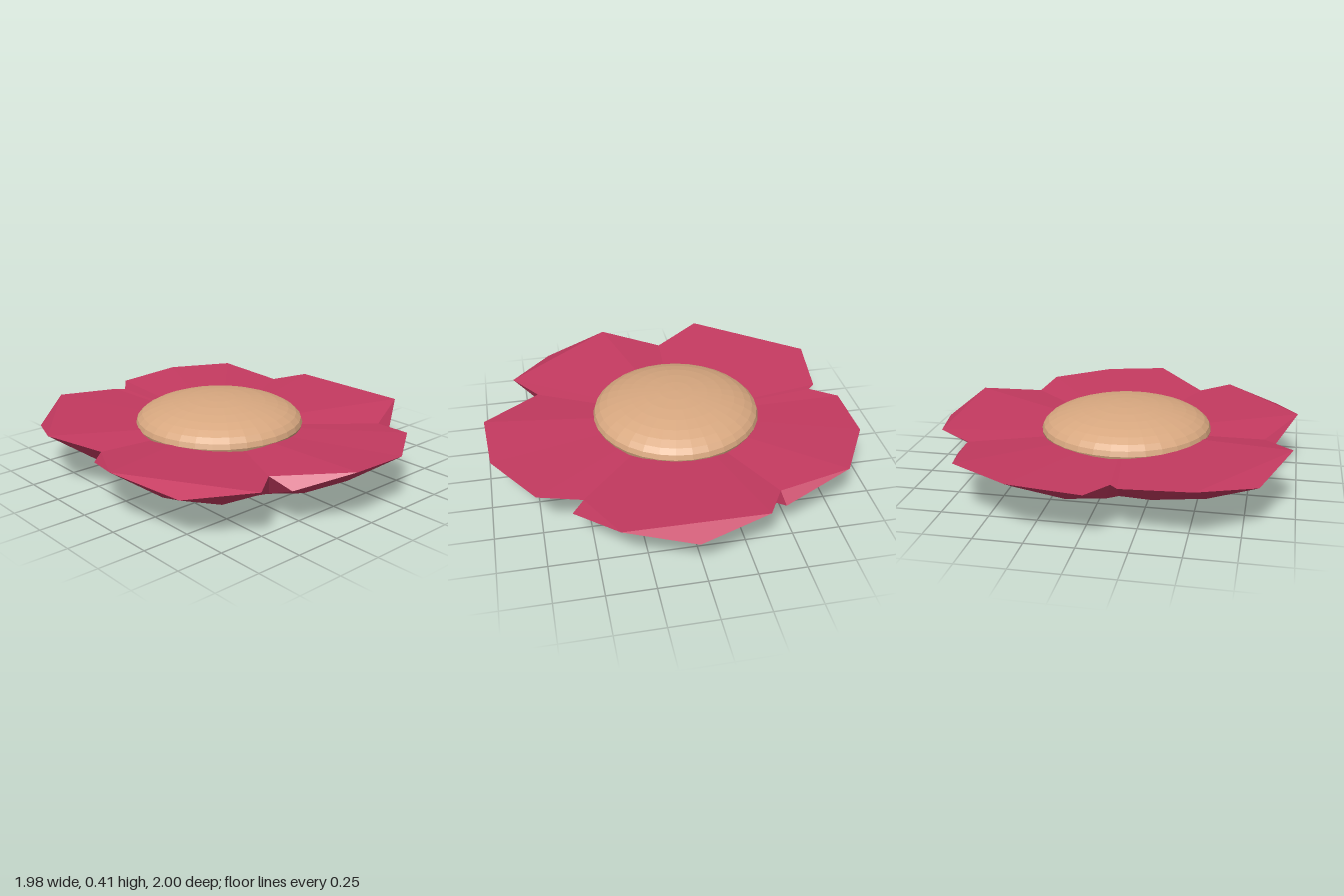
import * as THREE from 'three';

// Rim points [x, y, z] of each petal, clockwise from above; each starts at the notch.
// Points below LOW lie under the upper face and form a folded-down edge.
const LOW = 0.25;
const petals = {
  backLeftPetal: [[-0.14, 0.27, -0.86], [-0.04, 0.27, -1], [0.33, 0.29, -0.99], [0.65, 0.295, -0.81], [0.76, 0.2, -0.45]],
  leftPetal: [[0.71, 0.26, -0.43], [0.89, 0.28, -0.33], [0.985, 0.23, 0.04], [0.895, 0.29, 0.4], [0.59, 0.18, 0.6]],
  frontPetal: [[0.58, 0.25, 0.54], [0.54, 0.27, 0.77], [0.23, 0.28, 0.98], [-0.12, 0.3, 1], [-0.36, 0.21, 0.81]],
  frontRightPetal: [[-0.4, 0.26, 0.69], [-0.57, 0.27, 0.82], [-0.86, 0.24, 0.59], [-0.99, 0.3, 0.23], [-0.87, 0.22, -0.09]],
  backRightPetal: [[-0.82, 0.26, -0.1], [-0.97, 0.31, -0.36], [-0.82, 0.24, -0.7], [-0.54, 0.3, -0.94], [-0.18, 0.27, -0.9]],
};

export function createModel() {
  const group = new THREE.Group();
  group.name = 'flower';
  const petalMaterial = new THREE.MeshStandardMaterial({ color: 0xc43a60, flatShading: true });
  const discMaterial = new THREE.MeshStandardMaterial({ color: 0xd8a880, flatShading: true });

  const rim = Object.values(petals).flat().map((p) => new THREE.Vector3(...p));
  const at = (i) => rim[(i + rim.length) % rim.length];
  const heart = new THREE.Vector3(-0.07, 0.24, -0.05);
  const base = new THREE.Vector3(-0.11, 0, 0.06);

  // Bowl-shaped underside: pull a rim point towards the base
  const lower = (p, t) => {
    const v = base.clone().lerp(p, t);
    v.y = p.y * t ** 3;
    return v;
  };
  // Two staggered rings give the triangular facets underneath
  const outer = (i) => lower(at(i).clone().add(at(i + 1)).multiplyScalar(0.5), 0.81);
  const inner = (i) => lower(at(i + 1), 0.47);

  let start = 0;
  for (const [name, points] of Object.entries(petals)) {
    const tris = [];
    for (let j = start; j < start + points.length; j++) {
      const a = at(j), b = at(j + 1);
      // Upper face, spanning over folded-down points
      if (a.y < LOW) {
        tris.push(heart, b, at(j - 1), at(j - 1), b, a);
      } else if (b.y >= LOW) {
        tris.push(heart, b, a);
      }
      // Underside
      tris.push(a, b, outer(j), b, outer(j + 1), outer(j));
      tris.push(outer(j), outer(j + 1), inner(j), inner(j), outer(j + 1), inner(j + 1));
      tris.push(inner(j), inner(j + 1), base);
    }
    start += points.length;
    const geometry = new THREE.BufferGeometry().setFromPoints(tris);
    geometry.computeVertexNormals();
    const petal = new THREE.Mesh(geometry, petalMaterial);
    petal.name = name;
    group.add(petal);
  }

  // Domed centre, kept above the underside of the petals
  const disc = new THREE.Mesh(new THREE.SphereGeometry(0.46, 32, 16), discMaterial);
  disc.name = 'centreDisc';
  disc.scale.y = 0.3;
  disc.position.set(-0.07, 0.268, -0.055);
  group.add(disc);

  return group;
}
